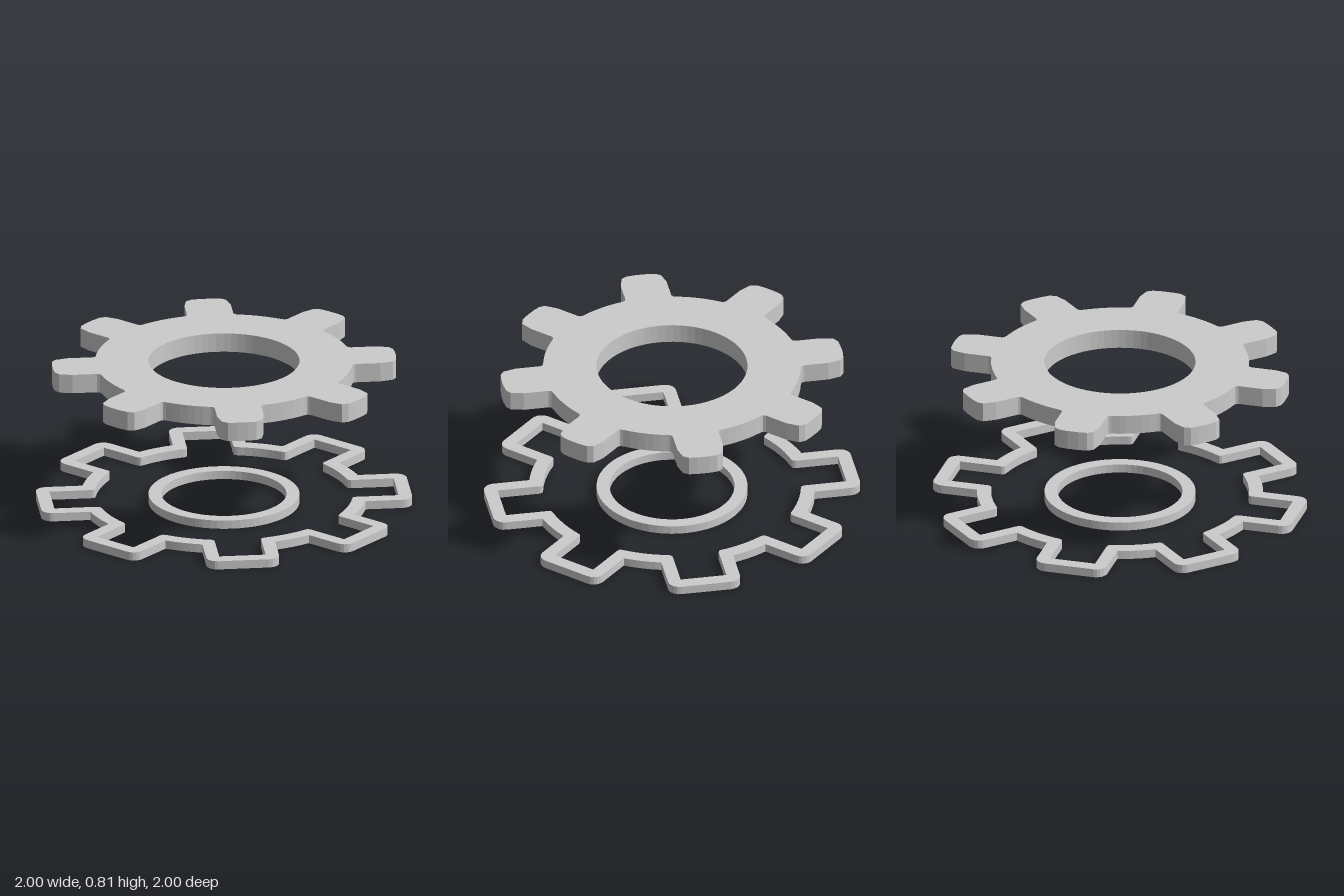
import * as THREE from 'three';

const TEETH = 8;
const STEP = (Math.PI * 2) / TEETH;

// Closed gear outline: one half tooth [reach, half width] from root to tip,
// mirrored, repeated around and joined by root arcs.
function gearOutline(half) {
  const tooth = [...half.map(([r, w]) => [r, -w]), ...[...half].reverse()];
  const rootRadius = Math.hypot(...half[0]);
  const rootAngle = Math.atan2(half[0][1], half[0][0]);
  const points = [];
  for (let i = 0; i < TEETH; i++) {
    const a = i * STEP, c = Math.cos(a), s = Math.sin(a);
    for (const [r, w] of tooth) points.push(new THREE.Vector2(r * c - w * s, r * s + w * c));
    for (let k = 1; k < 6; k++) {
      const b = a + rootAngle + ((STEP - 2 * rootAngle) * k) / 6;
      points.push(new THREE.Vector2(rootRadius * Math.cos(b), rootRadius * Math.sin(b)));
    }
  }
  return points;
}

function circle(radius, segments = 64) {
  return Array.from({ length: segments }, (_, i) => {
    const a = (i / segments) * Math.PI * 2;
    return new THREE.Vector2(radius * Math.cos(a), radius * Math.sin(a));
  });
}

// Flat plate lying in the xz plane with one opening
function plate(name, outer, inner, y, height) {
  const shape = new THREE.Shape(outer);
  shape.holes.push(new THREE.Path(inner));
  const geometry = new THREE.ExtrudeGeometry(shape, { depth: height, bevelEnabled: false });
  geometry.rotateX(-Math.PI / 2);
  const mesh = new THREE.Mesh(geometry, new THREE.MeshStandardMaterial({ color: 0xcccccc }));
  mesh.name = name;
  mesh.position.y = y;
  return mesh;
}

export function createModel() {
  const group = new THREE.Group();
  group.name = 'gearWithBorder';

  // Root fillet shared by the gear and the opening of its border
  const root = [[0.676, 0.145], [0.682, 0.131], [0.697, 0.125]];

  // Gear with slightly tapered, curved tooth tips
  const gearTooth = [...root, [0.83, 0.125], [0.9, 0.108], [0.92, 0.078], [0.925, 0.03]];
  group.add(plate('gear', gearOutline(gearTooth), circle(0.405), 0.705, 0.105));

  // Border frame: rounded outer tooth corners, square inner ones
  const corner = 0.06;
  const borderTooth = [[0.742, 0.196]];
  for (let k = 0; k <= 5; k++) {
    const a = (k / 5) * Math.PI / 2;
    borderTooth.push([1 - corner + corner * Math.sin(a), 0.196 - corner + corner * Math.cos(a)]);
  }
  const opening = [...root, [0.928, 0.125]];
  group.add(plate('toothedBorder', gearOutline(borderTooth), gearOutline(opening), 0, 0.047));

  // Ring under the gear's central hole
  group.add(plate('centreRing', circle(0.405), circle(0.335), 0, 0.047));

  return group;
}
